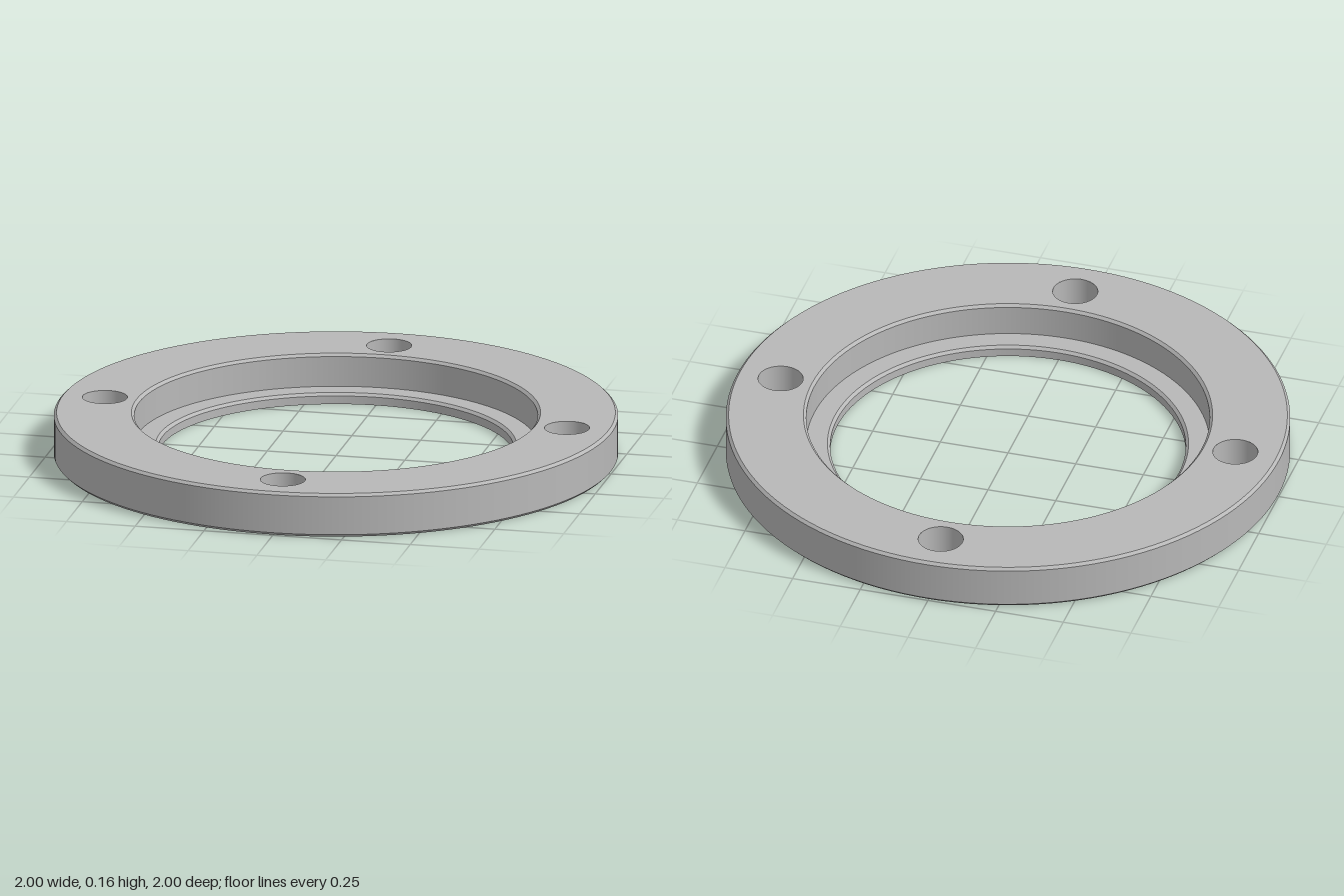
import * as THREE from 'three';

const HEIGHT = 0.16, OUTER = 1, RECESS = 0.715, BORE = 0.63, LEDGE = 0.04, BEVEL = 0.01;
const BOLT_CIRCLE = 0.84, BOLT_RADIUS = 0.08, SEGMENTS = 128;

export function createModel() {
  const steel = new THREE.MeshStandardMaterial({ color: 0xb8b8b8 });
  steel.name = 'grey steel';
  const group = new THREE.Group();
  group.name = 'flangeRing';

  const add = (name, geometry, parent = group) => {
    const mesh = new THREE.Mesh(geometry, steel);
    mesh.name = name;
    parent.add(mesh);
    return mesh;
  };

  // Each profile segment is its own band, so edges between them stay sharp
  const addBands = (name, profile, parent = group, segments = SEGMENTS) => {
    const part = new THREE.Group();
    part.name = name;
    for (let i = 0; i < profile.length - 1; i++) {
      const points = [profile[i], profile[i + 1]].map(([r, y]) => new THREE.Vector2(r, y));
      add(`${name}Band${i + 1}`, new THREE.LatheGeometry(points, segments), part);
    }
    parent.add(part);
    return part;
  };

  const boltCentres = [0, 1, 2, 3].map((i) => {
    const a = (i * Math.PI) / 2;
    return [BOLT_CIRCLE * Math.cos(a), BOLT_CIRCLE * Math.sin(a)];
  });

  // Flat annulus pierced by the bolt holes
  const drilledFace = (inner, outer) => {
    const shape = new THREE.Shape().absarc(0, 0, outer, 0, Math.PI * 2);
    shape.holes.push(new THREE.Path().absarc(0, 0, inner, 0, Math.PI * 2));
    for (const [x, y] of boltCentres) {
      shape.holes.push(new THREE.Path().absarc(x, y, BOLT_RADIUS, 0, Math.PI * 2));
    }
    return new THREE.ShapeGeometry(shape, SEGMENTS / 2);
  };

  add('topFace', drilledFace(RECESS + BEVEL, OUTER - BEVEL).rotateX(-Math.PI / 2).translate(0, HEIGHT, 0));
  add('bottomFace', drilledFace(BORE, OUTER - BEVEL).rotateX(Math.PI / 2));

  // Outer rim with bevelled edges
  addBands('outerRim', [
    [OUTER - BEVEL, 0],
    [OUTER, BEVEL],
    [OUTER, HEIGHT - BEVEL],
    [OUTER - BEVEL, HEIGHT],
  ]);

  // Stepped recess, ledge and through bore
  addBands('steppedBore', [
    [RECESS + BEVEL, HEIGHT],
    [RECESS, HEIGHT - BEVEL],
    [RECESS, LEDGE],
    [BORE + BEVEL, LEDGE],
    [BORE, LEDGE - BEVEL],
    [BORE, 0],
  ]);

  // Walls of the four bolt holes, facing inward
  boltCentres.forEach(([x, z], i) => {
    const wall = addBands(`boltHole${i + 1}`, [[BOLT_RADIUS, HEIGHT], [BOLT_RADIUS, 0]], group, 64);
    wall.position.set(x, 0, z);
  });

  return group;
}
